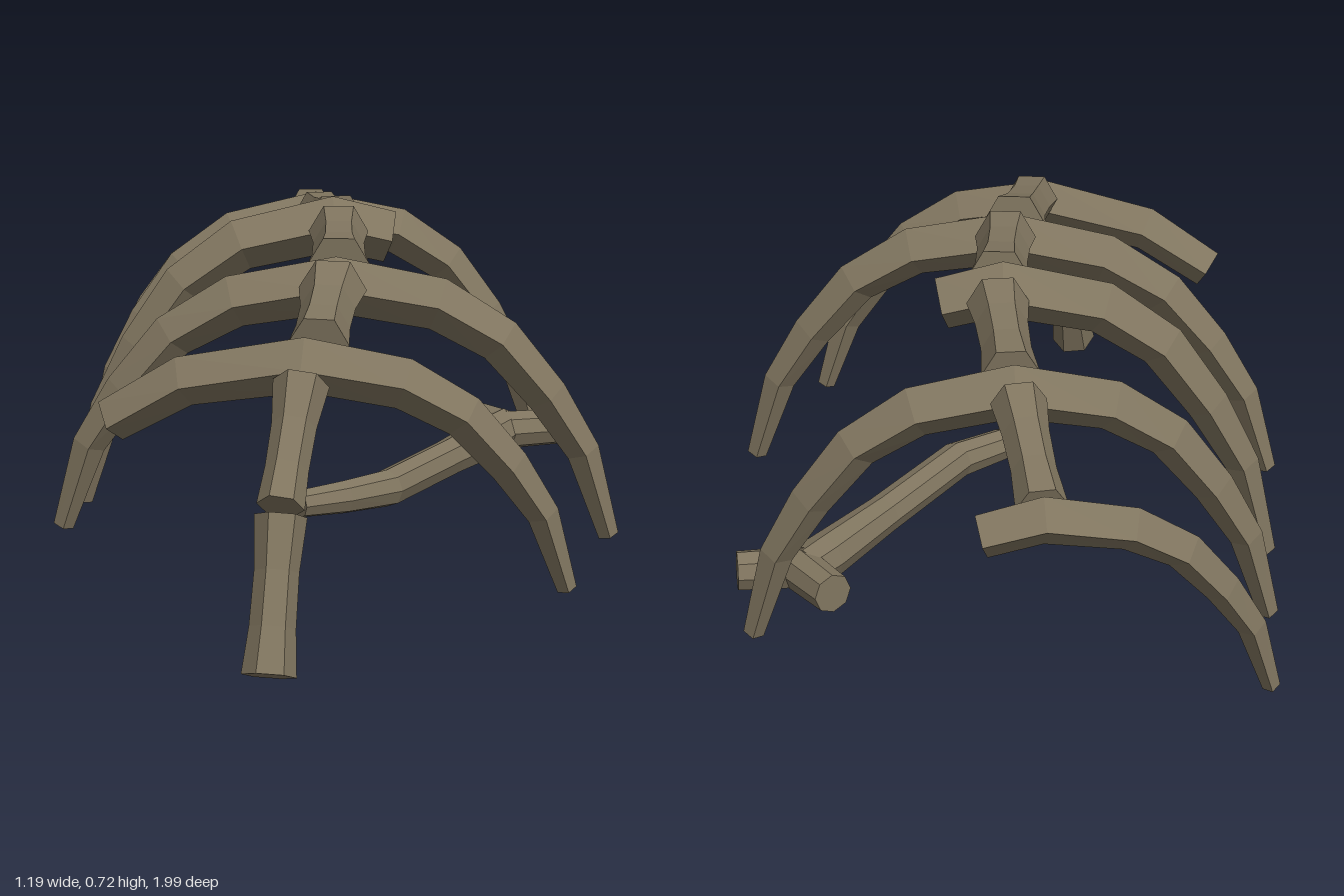
import * as THREE from 'three';

// Sweeps a regular section along points [x, y, z, radius]; axis sets where the first corner points.
function sweep(points, sides, axis, material, name) {
  const P = points.map(p => new THREE.Vector3(p[0], p[1], p[2]));
  const last = P.length - 1;
  const rings = P.map((c, i) => {
    const t = P[Math.min(i + 1, last)].clone().sub(P[Math.max(i - 1, 0)]).normalize();
    const u = axis.clone().addScaledVector(t, -axis.dot(t)).normalize();
    const v = new THREE.Vector3().crossVectors(t, u);
    return Array.from({ length: sides }, (_, k) => {
      const a = (k / sides) * Math.PI * 2;
      return c.clone()
        .addScaledVector(u, Math.cos(a) * points[i][3])
        .addScaledVector(v, Math.sin(a) * points[i][3]);
    });
  });
  const verts = [];
  const tri = (...corners) => corners.forEach(p => verts.push(p.x, p.y, p.z));
  for (let k = 0; k < sides; k++) {
    const j = (k + 1) % sides;
    for (let i = 0; i < last; i++) {
      const a = rings[i], b = rings[i + 1];
      tri(a[k], a[j], b[j]);
      tri(a[k], b[j], b[k]);
    }
    tri(P[0], rings[0][j], rings[0][k]);
    tri(P[last], rings[last][k], rings[last][j]);
  }
  const geometry = new THREE.BufferGeometry();
  geometry.setAttribute('position', new THREE.Float32BufferAttribute(verts, 3));
  geometry.computeVertexNormals();
  const mesh = new THREE.Mesh(geometry, material);
  mesh.name = name;
  return mesh;
}

// Half of a rib arch from the apex outwards: [reach, drop, thickness], each as a fraction
const ARCH = [[0.365, 0.07, 0.93], [0.59, 0.213, 0.82], [0.765, 0.435, 0.72], [0.9, 0.66, 0.58], [1, 1, 0.36]];

// Points of one rib half; steps below 5 leave the rib broken off short
function halfRib([x, y, z, r], side, { reach, drop, tipZ, bow = 0, steps = 5 }) {
  return ARCH.slice(0, steps).map(([f, d, s]) => [
    x + side * reach * f,
    y - drop * d,
    z + (tipZ - z) * f + bow * 4 * f * (1 - f),
    r * s,
  ]);
}

export function createModel() {
  const model = new THREE.Group();
  model.name = 'ribcage';
  const bone = new THREE.MeshStandardMaterial({ color: 0x80755f, flatShading: true });
  bone.name = 'old bone';
  const X = new THREE.Vector3(1, 0, 0);
  const Y = new THREE.Vector3(0, 1, 0);
  const Z = new THREE.Vector3(0, 0, 1);

  // Spine: waisted six-sided vertebrae, from the front one to the back one
  const spine = new THREE.Group();
  spine.name = 'spine';
  const vertebrae = [
    [[-0.18, 0.027, 0.95, 0.052], [-0.15, 0.3, 0.83, 0.05]],
    [[-0.15, 0.315, 0.82, 0.046], [-0.1, 0.51, 0.645, 0.055]],
    [[-0.06, 0.565, 0.55, 0.06], [-0.012, 0.617, 0.27, 0.07]],
    [[0.01, 0.64, 0.14, 0.066], [0.03, 0.662, -0.135, 0.065]],
    [[0.035, 0.662, -0.26, 0.064], [0.015, 0.63, -0.535, 0.058]],
    [[0.003, 0.622, -0.64, 0.055], [-0.033, 0.535, -0.91, 0.05]],
  ];
  vertebrae.forEach(([a, b], i) => {
    const at = (f, s) => a.map((v, k) => (v + (b[k] - v) * f) * (k === 3 ? s : 1));
    spine.add(sweep([a, at(0.3, 0.86), at(0.65, 0.84), b], 6, X, bone, 'vertebra' + (i + 1)));
  });
  model.add(spine);

  // Ribs: tapered diamond sections, some broken off short
  const ribs = new THREE.Group();
  ribs.name = 'ribs';
  [
    { apex: [-0.09, 0.535, 0.6, 0.055],
      right: { reach: 0.64, drop: 0.61, tipZ: 0.43, steps: 2 },
      left: { reach: 0.52, drop: 0.465, tipZ: 0.603, bow: 0.035 } },
    { apex: [0, 0.61, 0.2, 0.06],
      right: { reach: 0.575, drop: 0.53, tipZ: 0.12 },
      left: { reach: 0.575, drop: 0.54, tipZ: 0.24, bow: 0.012 } },
    { apex: [0.025, 0.665, -0.203, 0.062],
      right: { reach: 0.565, drop: 0.62, tipZ: -0.2 },
      left: { reach: 0.34, drop: 0.43, tipZ: -0.203, steps: 1 } },
    { apex: [0.01, 0.615, -0.585, 0.058],
      right: { reach: 0.52, drop: 0.535, tipZ: -0.525, bow: -0.008 },
      left: { reach: 0.525, drop: 0.54, tipZ: -0.572, bow: -0.01 } },
    { apex: [-0.035, 0.53, -0.951, 0.049],
      right: { reach: 0.445, drop: 0.425, tipZ: -0.848, bow: -0.02 },
      left: { reach: 0.315, drop: 0.43, tipZ: -0.962, steps: 1 } },
  ].forEach(({ apex, right, left }, i) => {
    const path = [...halfRib(apex, -1, right).reverse(), apex, ...halfRib(apex, 1, left)];
    ribs.add(sweep(path, 4, Z, bone, 'rib' + (i + 1)));
  });
  model.add(ribs);

  // Loose limb bone lying beneath the ribs, forked at its far end
  const limb = new THREE.Group();
  limb.name = 'looseBone';
  limb.add(
    sweep([[-0.075, 0.137, 0.185, 0.03], [0.02, 0.137, 0.14, 0.036], [0.12, 0.135, 0.07, 0.041],
      [0.28, 0.133, -0.18, 0.042], [0.4, 0.133, -0.365, 0.05], [0.44, 0.135, -0.425, 0.048]],
    8, Y, bone, 'shaft'),
    sweep([[0.45, 0.135, -0.41, 0.046], [0.375, 0.138, -0.525, 0.042]], 8, Y, bone, 'innerKnuckle'),
    sweep([[0.42, 0.135, -0.405, 0.045], [0.575, 0.138, -0.425, 0.042]], 8, Y, bone, 'outerKnuckle'),
  );
  model.add(limb);
  return model;
}
